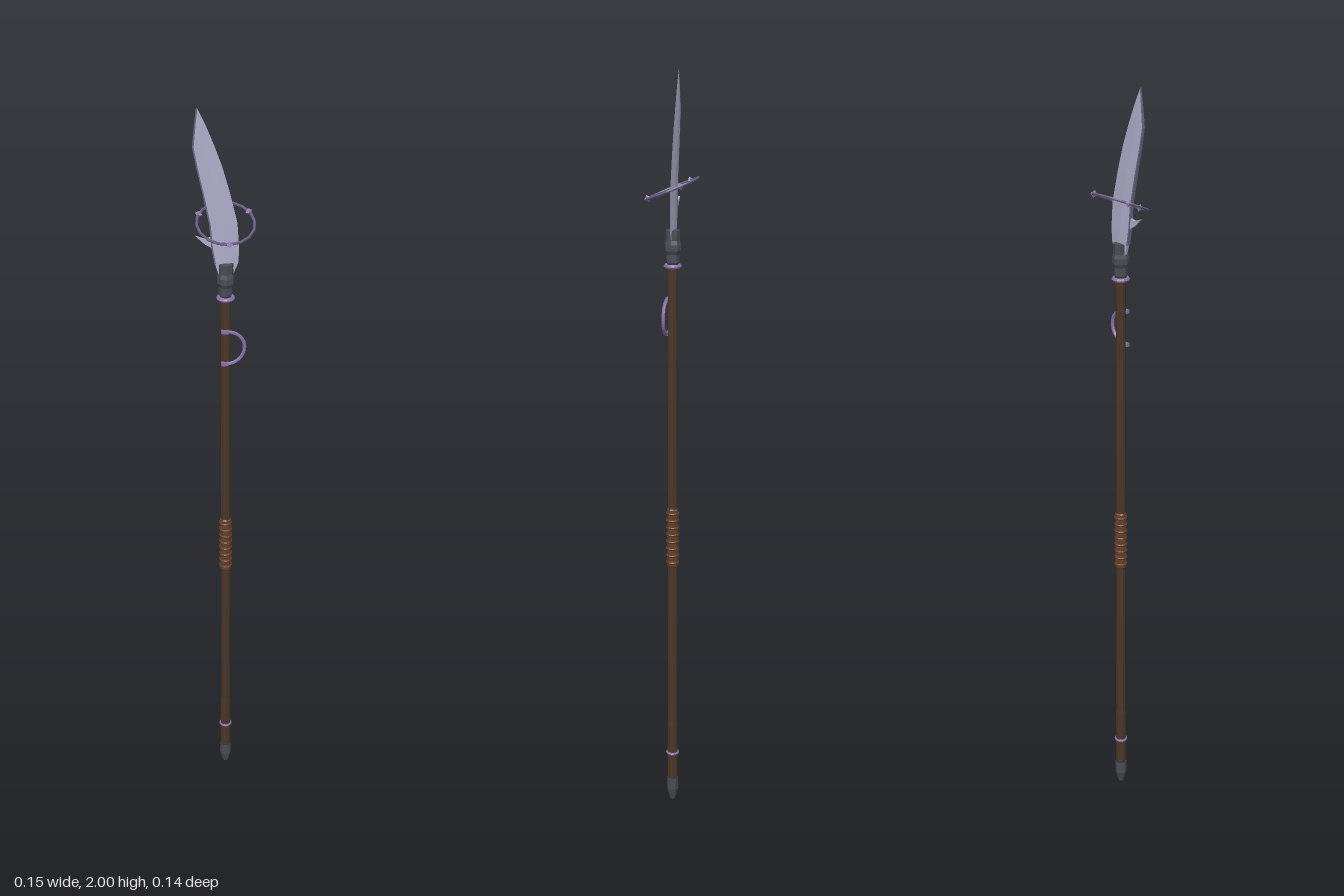
import * as THREE from 'three';

const mat = (color) => new THREE.MeshStandardMaterial({ color, flatShading: true });
const WOOD = mat(0x4a3628), LEATHER = mat(0x643f28), IRON = mat(0x4a4c55);
const STEEL = mat(0xb0aecb), SPINE = mat(0x6a6880), VIOLET = mat(0x8b70a8);
const RING = mat(0x685a80), GEM = mat(0x9a82b4);

function add(parent, name, geometry, material, x = 0, y = 0, z = 0) {
  const mesh = new THREE.Mesh(geometry, material);
  mesh.name = name;
  mesh.position.set(x, y, z);
  parent.add(mesh);
  return mesh;
}

// Turned part from [radius, y] pairs
const turned = (points, sides = 8) =>
  new THREE.LatheGeometry(points.map(([r, y]) => new THREE.Vector2(r, y)), sides);

// Horizontal band around the pole
function band(parent, name, y, radius, tube, material) {
  add(parent, name, new THREE.TorusGeometry(radius, tube, 6, 16), material, 0, y).rotation.x = Math.PI / 2;
}

// Blade rows from the socket up: height, back edge x, cutting edge x, half thickness
const ROWS = [
  [1.59, -0.017, 0.018, 0.005], [1.62, -0.026, 0.031, 0.005], [1.66, -0.033, 0.032, 0.005],
  [1.72, -0.038, 0.028, 0.0045], [1.80, -0.054, 0.009, 0.004], [1.86, -0.067, -0.008, 0.0035],
  [1.91, -0.076, -0.026, 0.003], [1.96, -0.071, -0.046, 0.002], [2.0, -0.066, -0.065, 0.0005],
];

// Skin closed cross-sections listed from bottom to top
function loft(sections) {
  const n = sections[0].length, index = [];
  for (let i = 0; i < sections.length - 1; i++) {
    for (let j = 0; j < n; j++) {
      const a = i * n + j, b = i * n + (j + 1) % n;
      index.push(a, b, b + n, a, b + n, a + n);
    }
  }
  const top = (sections.length - 1) * n;
  for (let j = 1; j < n - 1; j++) index.push(0, j + 1, j, top, top + j, top + j + 1);
  const geometry = new THREE.BufferGeometry();
  geometry.setAttribute('position', new THREE.Float32BufferAttribute(sections.flat(2), 3));
  geometry.setIndex(index);
  const flat = geometry.toNonIndexed();
  flat.computeVertexNormals();
  return flat;
}

export function createModel() {
  const model = new THREE.Group();
  model.name = 'glaive';
  const body = new THREE.Group();
  body.name = 'weapon';
  body.position.z = -0.003;
  model.add(body);

  // Pole and iron butt
  add(body, 'shaft', turned([[0.0145, 0.06], [0.0145, 0.24], [0.0135, 0.25], [0.0125, 1.55]], 10), WOOD);
  add(body, 'buttCap', turned([[0, 0], [0.008, 0.002], [0.0165, 0.035], [0.0155, 0.07], [0.012, 0.07]]), IRON);
  band(body, 'buttBand', 0.15, 0.0145, 0.004, VIOLET);

  // Leather grip with wrapped cords
  add(body, 'grip', turned([[0.012, 0.715], [0.0155, 0.72], [0.0155, 0.88], [0.012, 0.885]], 10), LEATHER);
  for (let i = 0; i < 8; i++) band(body, 'gripWrap', 0.73 + i * 0.02, 0.0145, 0.0035, LEATHER);

  // Socket and its collar
  add(body, 'socket', turned([[0.012, 1.53], [0.017, 1.54], [0.017, 1.56], [0.0215, 1.57],
    [0.0215, 1.585], [0.0185, 1.595], [0.019, 1.62], [0, 1.622]]), IRON);
  band(body, 'socketBand', 1.53, 0.0175, 0.0055, VIOLET);

  // Half-round hook at the side of the pole
  const hook = new THREE.TorusGeometry(0.044, 0.0045, 6, 16, Math.PI);
  add(body, 'sideHook', hook, VIOLET, 0.001, 1.4, 0.0145).rotation.z = -Math.PI / 2;
  for (const y of [1.356, 1.444]) {
    add(body, 'hookMount', new THREE.BoxGeometry(0.018, 0.009, 0.009), VIOLET, -0.004, y, 0.0135);
  }

  // Curved single-edged blade
  const blade = ROWS.map(([y, back, edge, t]) => {
    const mid = back + (edge - back) * 0.45;
    return [[back, y, t * 0.8], [mid, y, t], [edge, y, 0], [mid, y, -t], [back, y, -t * 0.8]];
  });
  add(body, 'blade', loft(blade), STEEL);

  // Dark rib along the blade's back
  const rib = ROWS.slice(1).map(([y, back, , t]) =>
    [[back - 0.0015, y, t], [back + 0.002, y, t], [back + 0.002, y, -t], [back - 0.0015, y, -t]]);
  add(body, 'bladeSpine', loft(rib), SPINE);

  // Small barb on the back of the blade
  const barb = new THREE.Shape([[-0.03, 1.66], [-0.03, 1.69], [-0.05, 1.685], [-0.072, 1.694], [-0.05, 1.672]]
    .map(([x, y]) => new THREE.Vector2(x, y)));
  add(body, 'barb', new THREE.ExtrudeGeometry(barb, { depth: 0.006, bevelEnabled: false }), STEEL, 0, 0, -0.003);

  // Tilted floating ring with three gems
  const halo = new THREE.Group();
  halo.name = 'floatingRing';
  halo.position.y = 1.722;
  halo.rotation.x = 0.4;
  body.add(halo);
  band(halo, 'ring', 0, 0.069, 0.0036, RING);
  for (let i = 0; i < 3; i++) {
    const a = i * Math.PI * 2 / 3;
    add(halo, 'ringGem', new THREE.OctahedronGeometry(0.0095), GEM,
      0.069 * Math.sin(a), 0, 0.069 * Math.cos(a)).rotation.y = a;
  }
  return model;
}
